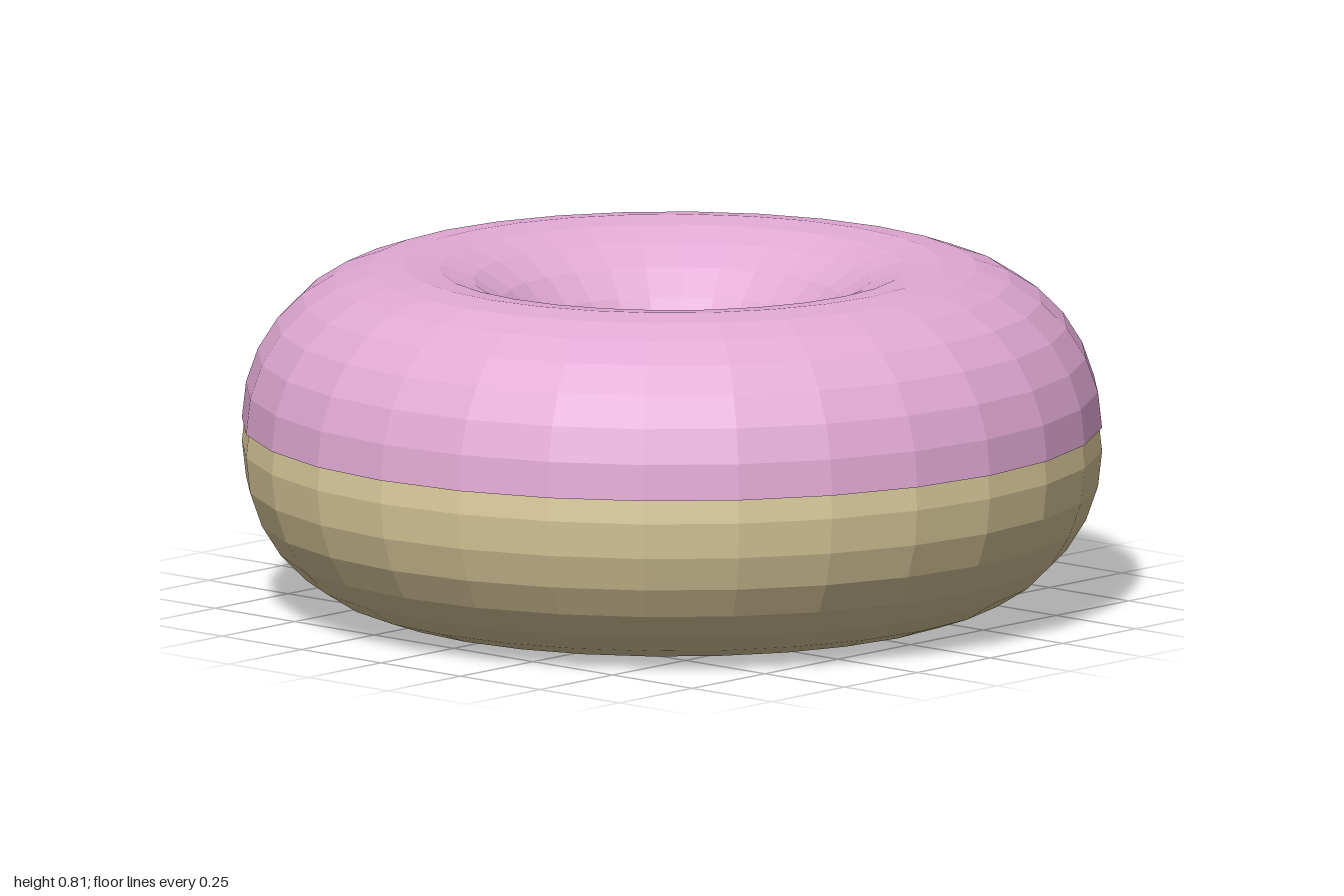
import * as THREE from 'three';

const RING = 0.625, TUBE = 0.375, SIDES = 28;

// Sweeps an arc of the round cross-section about the vertical axis.
function ringPart(name, color, centreY, arc, steps) {
  const profile = [];
  for (let i = 0; i <= steps; i++) {
    const a = (i / steps) * arc;
    profile.push(new THREE.Vector2(RING + TUBE * Math.cos(a), centreY + TUBE * Math.sin(a)));
  }
  const material = new THREE.MeshStandardMaterial({ color, flatShading: true, side: THREE.DoubleSide });
  const mesh = new THREE.Mesh(new THREE.LatheGeometry(profile, SIDES), material);
  mesh.name = name;
  return mesh;
}

export function createModel() {
  const group = new THREE.Group();
  group.name = 'doughnut';

  // Full ring of dough resting on the ground
  group.add(ringPart('dough', 0xdbca9c, TUBE, Math.PI * 2, SIDES));

  // Upper half ring of icing, raised slightly above the dough
  group.add(ringPart('icing', 0xe1a9d5, 0.43, Math.PI, SIDES / 2));

  return group;
}
